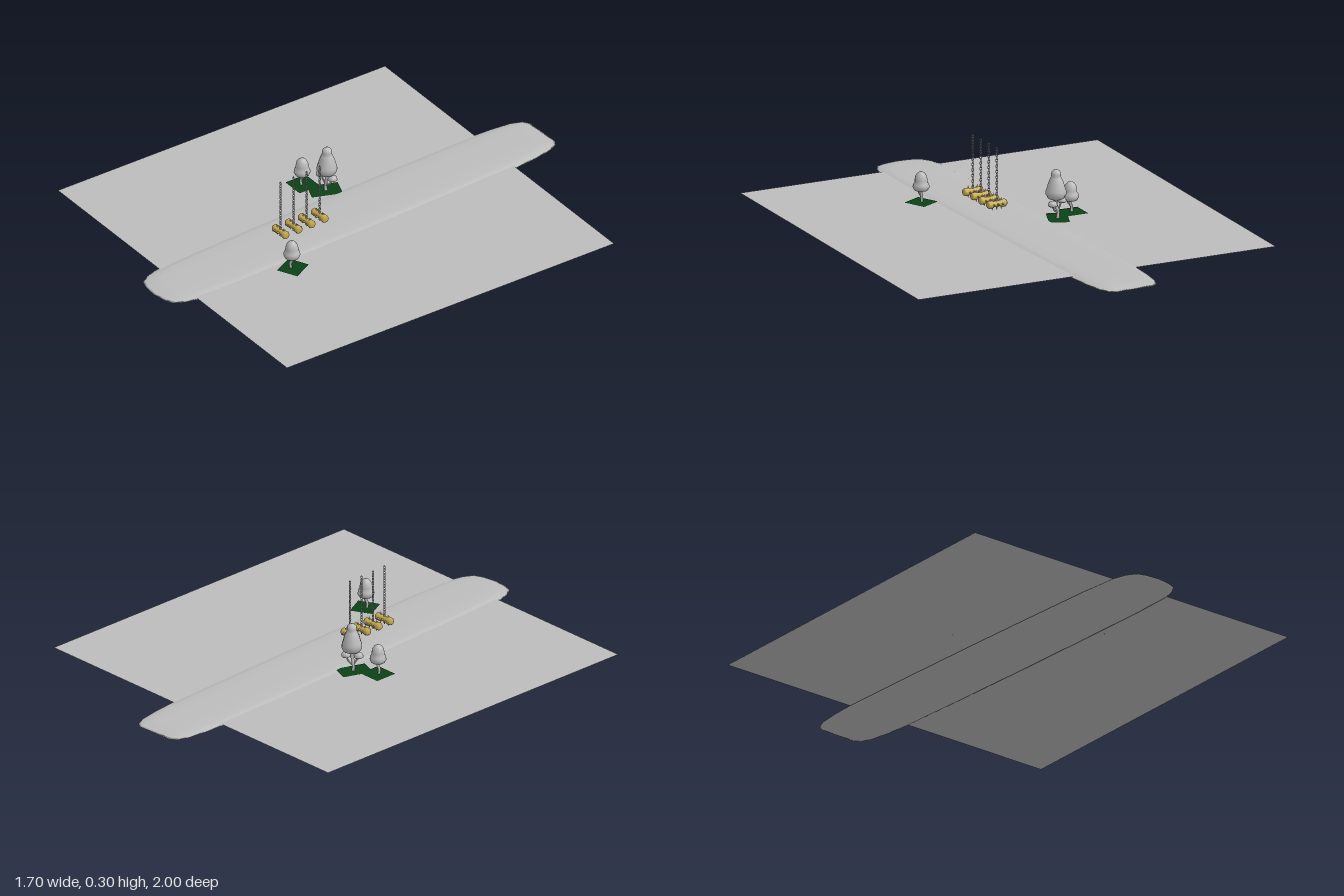
import * as THREE from 'three';

const material = (name, color, side = THREE.FrontSide) => {
  const m = new THREE.MeshStandardMaterial({ color, side });
  m.name = name;
  return m;
};
const V = (x, y, z) => new THREE.Vector3(x, y, z);

export function createModel() {
  const stone = material('paleGrey', 0xbcbcbc, THREE.DoubleSide);
  const grass = material('darkGreen', 0x0b4216, THREE.DoubleSide);
  const gold = material('gold', 0xc9ad50);
  const root = new THREE.Group();
  root.name = 'trapCourse';

  const add = (parent, name, geometry, mat, x = 0, y = 0, z = 0) => {
    const mesh = new THREE.Mesh(geometry, mat);
    mesh.name = name;
    mesh.position.set(x, y, z);
    parent.add(mesh);
    return mesh;
  };

  // Flat ground sheet, turned slightly
  const ground = add(root, 'ground', new THREE.PlaneGeometry(1.626, 1.626).rotateX(-Math.PI / 2), stone, 0, 0.009, 0.06);
  ground.rotation.y = -0.045;

  // Long path with rounded ends, built from stacked outlines
  const half = [[0, 0.997], [0.06, 0.99], [0.1, 0.975], [0.125, 0.935], [0.14, 0.88], [0.149, 0.7],
    [0.153, 0.35], [0.155, 0], [0.154, -0.4], [0.15, -0.75], [0.143, -0.85], [0.13, -0.94], [0.11, -0.985], [0.085, -1], [0, -1]];
  const outline = [...half, ...half.slice(1, -1).reverse().map(([x, z]) => [-x, z])];
  const levels = [[0.93, 0.985, 0], [1, 1, 0.003], [0.97, 0.99, 0.006], [0.86, 0.955, 0.012], [0.74, 0.92, 0.0155], [0.4, 0.8, 0.017]];
  const n = outline.length, pos = [], idx = [];
  for (const [sx, sz, y] of levels) for (const [x, z] of outline) pos.push(x * sx, y, z * sz);
  const bottom = pos.length / 3, top = bottom + 1;
  pos.push(0, 0, 0, 0, 0.017, 0);
  for (let j = 0; j < n; j++) {
    const k = (j + 1) % n;
    for (let i = 0; i < levels.length - 1; i++) {
      const a = i * n + j, b = i * n + k;
      idx.push(a, b, b + n, a, b + n, a + n);
    }
    const t = (levels.length - 1) * n;
    idx.push(k, j, bottom, t + j, t + k, top);
  }
  const pathGeo = new THREE.BufferGeometry();
  pathGeo.setAttribute('position', new THREE.Float32BufferAttribute(pos, 3));
  pathGeo.setIndex(idx);
  pathGeo.computeVertexNormals();
  add(root, 'path', pathGeo, stone);

  // Tree helpers
  const lathe = (pts, seg = 12) => new THREE.LatheGeometry(pts.map(([r, y]) => new THREE.Vector2(r, y)), seg);
  const branch = (parent, name, pts, r) =>
    add(parent, name, new THREE.TubeGeometry(new THREE.CatmullRomCurve3(pts), 8, r, 7), stone);
  const patch = (name, x, z, w, d, turn) => {
    const p = add(root, name, new THREE.PlaneGeometry(w, d).rotateX(-Math.PI / 2), grass, x, 0.0125, z);
    p.rotation.y = turn;
  };
  const smallCrown = lathe([[0, 0.068], [0.014, 0.06], [0.028, 0.063], [0.035, 0.075], [0.033, 0.088], [0.027, 0.095],
    [0.027, 0.106], [0.024, 0.122], [0.016, 0.134], [0.008, 0.14], [0, 0.142]]);
  const smallTree = (x, z, turn) => {
    const tree = new THREE.Group();
    tree.name = 'smallTree';
    tree.position.set(x, 0, z);
    tree.rotation.y = turn;
    root.add(tree);
    branch(tree, 'trunk', [V(-0.004, 0.009, 0), V(-0.006, 0.03, 0.002), V(0.001, 0.05, 0), V(0, 0.075, 0)], 0.006);
    branch(tree, 'fork', [V(-0.004, 0.032, 0), V(0.008, 0.048, 0.003), V(0.016, 0.068, 0.004)], 0.003);
    add(tree, 'crown', smallCrown, stone);
  };
  smallTree(-0.272, 0.025, 0);
  smallTree(0.195, 0.437, 0.4);
  patch('grassPatch', -0.275, 0.02, 0.1, 0.1, -0.04);
  patch('grassPatch', 0.197, 0.433, 0.094, 0.1, 0.42);

  // Tall tree with side branches carrying little crowns
  const tall = new THREE.Group();
  tall.name = 'tallTree';
  tall.position.set(-0.175, 0, -0.028);
  root.add(tall);
  branch(tall, 'trunk', [V(-0.007, 0.009, 0), V(-0.009, 0.04, 0), V(0, 0.07, 0.002), V(0, 0.11, 0)], 0.007);
  add(tall, 'crown', lathe([[0, 0.102], [0.018, 0.093], [0.034, 0.1], [0.043, 0.116], [0.042, 0.132], [0.037, 0.145],
    [0.032, 0.165], [0.023, 0.186], [0.019, 0.192], [0.021, 0.2], [0.018, 0.212], [0.009, 0.22], [0, 0.222]]), stone);
  const littleCrown = lathe([[0, 0.003], [0.013, -0.004], [0.02, 0.001], [0.018, 0.012], [0.01, 0.019], [0, 0.022]], 10);
  for (const [x, y, z] of [[-0.031, 0.078, 0.008], [0.022, 0.072, -0.012]]) {
    branch(tall, 'sideBranch', [V(-0.007, 0.035, 0), V(x * 0.6, y - 0.02, z * 0.6), V(x, y + 0.004, z)], 0.0035);
    add(tall, 'littleCrown', littleCrown, stone, x, y, z);
  }
  patch('grassPatch', -0.185, -0.025, 0.086, 0.13, -0.4);

  // Four spiked rollers hanging on chains
  const body = lathe([[0, -0.043], [0.012, -0.043], [0.016, -0.038], [0.016, -0.02], [0.012, -0.015], [0.012, 0.015],
    [0.016, 0.02], [0.016, 0.038], [0.012, 0.043], [0, 0.043]], 14).rotateZ(-Math.PI / 2);
  const spike = new THREE.ConeGeometry(0.005, 0.014, 8).translate(0, 0.019, 0);
  const link = new THREE.TorusGeometry(0.0045, 0.0015, 5, 10).scale(1, 1.6, 1);
  for (const z of [0.147, 0.214, 0.281, 0.348]) {
    const trap = new THREE.Group();
    trap.name = 'hangingRoller';
    trap.position.set(0.004, 0.054, z);
    root.add(trap);
    add(trap, 'roller', body, gold);
    for (const x of [-0.021, 0, 0.021]) {
      for (let q = 0; q < 4; q++) {
        add(trap, 'spike', spike, x === 0 ? gold : stone, x).rotation.x = q * Math.PI / 2;
      }
    }
    for (let i = 0; i < 19; i++) {
      add(trap, 'chainLink', link, stone, 0, 0.018 + i * 0.0119, 0).rotation.y = (i % 2) * Math.PI / 2;
    }
  }
  return root;
}
